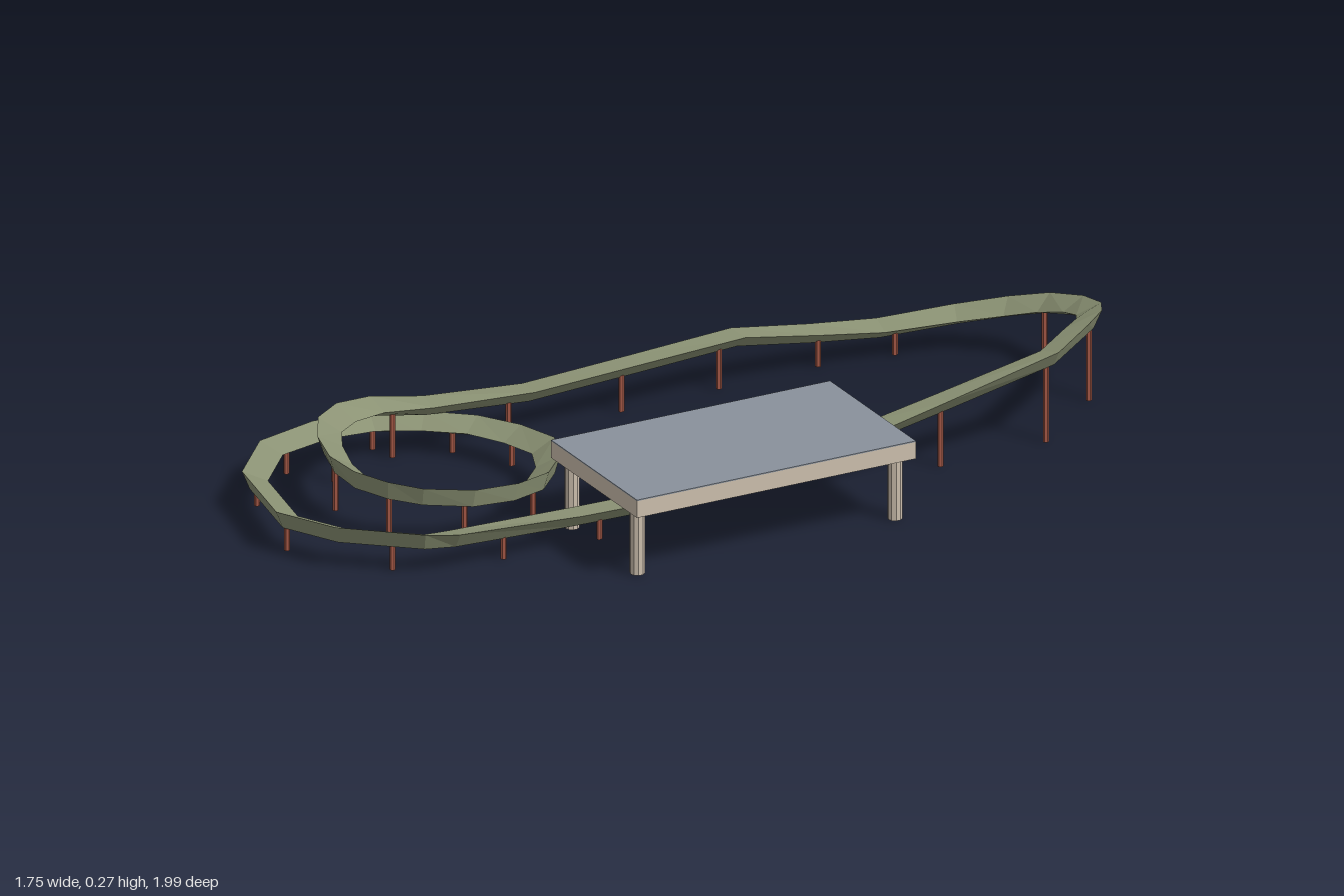
import * as THREE from 'three';

// Closed track centreline [x, y, z]: lift hill, back turn, long straight, helix, front turn
const PATH = [
  [0.02, 0.085, 0.6], [0.25, 0.08, 0.3], [0.37, 0.1, 0.145], [0.53, 0.145, -0.07], [0.645, 0.182, -0.225],
  [0.825, 0.24, -0.48], [0.84, 0.26, -0.61], [0.825, 0.248, -0.72], [0.78, 0.218, -0.82],
  [0.7, 0.185, -0.905], [0.595, 0.15, -0.96], [0.49, 0.12, -0.965], [0.37, 0.095, -0.93],
  [0.22, 0.082, -0.81], [0.1, 0.1, -0.68], [-0.03, 0.138, -0.5], [-0.2, 0.13, -0.255],
  [-0.38, 0.118, -0.01], [-0.56, 0.13, 0.2], [-0.65, 0.15, 0.31], [-0.69, 0.16, 0.41],
  [-0.69, 0.165, 0.51], [-0.65, 0.162, 0.6], [-0.58, 0.157, 0.69], [-0.5, 0.151, 0.745],
  [-0.41, 0.145, 0.76], [-0.33, 0.138, 0.745], [-0.225, 0.13, 0.69], [-0.16, 0.122, 0.6],
  [-0.135, 0.112, 0.49], [-0.16, 0.103, 0.37], [-0.22, 0.095, 0.265], [-0.33, 0.085, 0.205],
  [-0.45, 0.08, 0.18], [-0.575, 0.076, 0.2], [-0.69, 0.075, 0.25], [-0.78, 0.08, 0.365],
  [-0.84, 0.085, 0.53], [-0.8, 0.088, 0.72], [-0.62, 0.097, 0.93], [-0.46, 0.1, 0.965],
  [-0.25, 0.1, 0.92], [-0.19, 0.097, 0.87],
].map(p => new THREE.Vector3(...p));

// Support positions [x, z], snapped to the closest spot on the track
const SUPPORTS = [
  [0.645, -0.22], [0.82, -0.47], [0.81, -0.76], [0.6, -0.96], [0.25, -0.83], [0.1, -0.69], [-0.07, -0.46],
  [-0.22, -0.22], [-0.42, 0.03], [-0.62, 0.28], [-0.69, 0.48], [-0.62, 0.65], [-0.42, 0.76],
  [-0.24, 0.7], [-0.13, 0.51], [-0.22, 0.27], [-0.33, 0.2], [-0.5, 0.19], [-0.69, 0.25],
  [-0.82, 0.48], [-0.82, 0.7], [-0.62, 0.93], [-0.33, 0.94], [-0.11, 0.76], [0.06, 0.55],
];

const HALF_WIDTH = 0.035, DEPTH = 0.036;
const mat = color => new THREE.MeshStandardMaterial({ color, flatShading: true });
const at = i => PATH[(i + PATH.length) % PATH.length];

// Signed horizontal curvature at a path point, positive for a left turn
function curvature(i) {
  const a = at(i).clone().sub(at(i - 1)), b = at(i + 1).clone().sub(at(i));
  const turn = Math.atan2(a.z * b.x - a.x * b.z, a.x * b.x + a.z * b.z);
  return 2 * turn / (a.length() + b.length());
}

// Triangular section swept round the path, banked into the turns
function trackGeometry() {
  const n = PATH.length, positions = [], index = [];
  for (let i = 0; i < n; i++) {
    const p = PATH[i];
    const d1 = p.clone().sub(at(i - 1)).normalize(), d2 = at(i + 1).clone().sub(p).normalize();
    const t = d1.add(d2).normalize();
    const flat = new THREE.Vector3(-t.z, 0, t.x).normalize();
    const up = flat.clone().cross(t).normalize();
    const k = (curvature(i - 1) + 2 * curvature(i) + curvature(i + 1)) / 4;
    const bank = THREE.MathUtils.clamp(k * 0.15, -0.6, 0.6);
    const side = flat.clone().multiplyScalar(Math.cos(bank)).addScaledVector(up, Math.sin(bank));
    const lift = up.clone().multiplyScalar(Math.cos(bank)).addScaledVector(flat, -Math.sin(bank));
    for (const v of [
      p.clone().addScaledVector(side, -HALF_WIDTH),
      p.clone().addScaledVector(side, HALF_WIDTH),
      p.clone().addScaledVector(lift, -DEPTH),
    ]) positions.push(v.x, v.y, v.z);
    for (let j = 0; j < 3; j++) {
      const m = (i + 1) % n, q = (j + 1) % 3;
      const a = i * 3 + j, b = i * 3 + q, c = m * 3 + q, d = m * 3 + j;
      index.push(a, b, c, a, c, d);
    }
  }
  const g = new THREE.BufferGeometry();
  g.setAttribute('position', new THREE.Float32BufferAttribute(positions, 3));
  g.setIndex(index);
  const out = g.toNonIndexed();
  out.computeVertexNormals();
  return out;
}

// Closest point of the track in plan
function snap(x, z) {
  let best = null, bestD = Infinity;
  PATH.forEach((a, i) => {
    const b = at(i + 1), dx = b.x - a.x, dz = b.z - a.z;
    const f = THREE.MathUtils.clamp(((x - a.x) * dx + (z - a.z) * dz) / (dx * dx + dz * dz), 0, 1);
    const p = a.clone().lerp(b, f), d = Math.hypot(p.x - x, p.z - z);
    if (d < bestD) { bestD = d; best = p; }
  });
  return best;
}

function post(name, x, z, height, radius, sides, material) {
  const m = new THREE.Mesh(new THREE.CylinderGeometry(radius, radius, height, sides), material);
  m.name = name;
  m.position.set(x, height / 2, z);
  return m;
}

export function createModel() {
  const model = new THREE.Group();
  model.name = 'rollerCoaster';
  const red = mat(0xa85a48), beige = mat(0xcdbfae);

  const track = new THREE.Mesh(trackGeometry(), mat(0x8b9274));
  track.name = 'track';
  model.add(track);

  // Track supports
  const supports = new THREE.Group();
  supports.name = 'trackSupports';
  for (const [x, z] of SUPPORTS) {
    const p = snap(x, z);
    supports.add(post('trackSupport', p.x, p.z, p.y - DEPTH * 0.7, 0.0075, 6, red));
  }
  model.add(supports);

  // Station: slab roof on four columns, turned to follow the track
  const station = new THREE.Group();
  station.name = 'station';
  station.position.set(0.321, 0, 0.319);
  station.rotation.y = -0.65;
  const box = (name, h, y, material) => {
    const m = new THREE.Mesh(new THREE.BoxGeometry(0.442, h, 0.79), material);
    m.name = name;
    m.position.y = y;
    station.add(m);
  };
  box('stationSlab', 0.045, 0.1955, beige);
  box('stationRoof', 0.003, 0.2195, mat(0x89919b));
  for (const sx of [-1, 1]) for (const sz of [-1, 1])
    station.add(post('stationColumn', sx * 0.168, sz * 0.365, 0.175, 0.019, 10, beige));
  model.add(station);
  return model;
}
